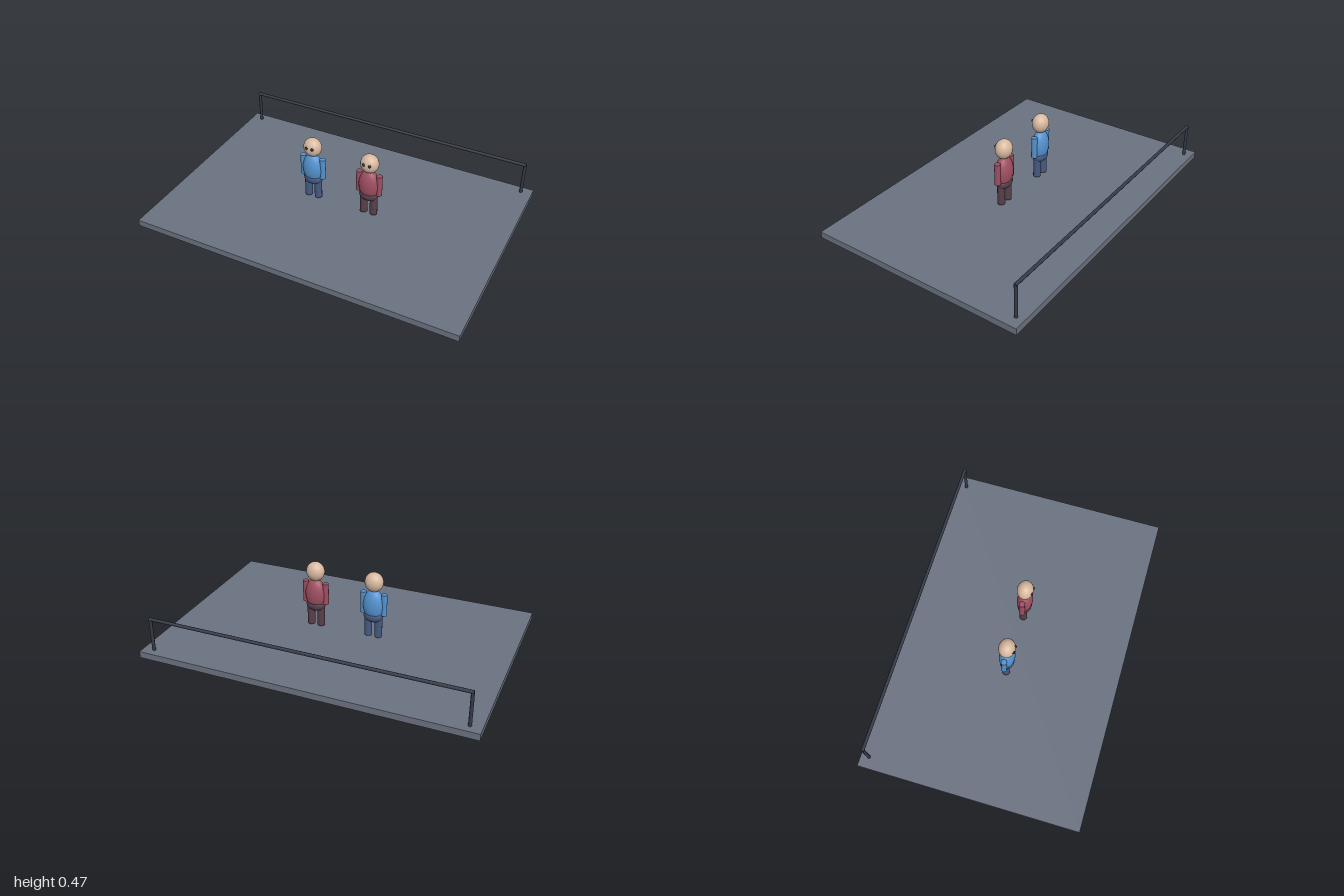
import * as THREE from 'three';

const mat = (name, color) => Object.assign(new THREE.MeshStandardMaterial({ color }), { name });

function add(parent, name, geometry, material, x, y, z) {
  const mesh = new THREE.Mesh(geometry, material);
  mesh.name = name;
  mesh.position.set(x, y, z);
  parent.add(mesh);
  return mesh;
}

const ellipsoid = (rx, ry, rz) => new THREE.SphereGeometry(1, 20, 14).scale(rx, ry, rz);
const rod = (r, length, sides = 12) => new THREE.CylinderGeometry(r, r, length, sides);

// One standing person with separate shirt and trouser colours
function createPerson(name, x, shirt, trousers, skin, eye) {
  const person = new THREE.Group();
  person.name = name;
  person.position.x = x;
  add(person, 'head', ellipsoid(0.056, 0.059, 0.049), skin, 0, 0.408, 0);
  add(person, 'torso', ellipsoid(0.065, 0.1, 0.047), shirt, 0, 0.26, 0);
  add(person, 'hips', ellipsoid(0.06, 0.041, 0.043), trousers, 0, 0.191, 0);
  for (const [side, s] of [['left', 1], ['right', -1]]) {
    add(person, side + 'Arm', rod(0.018, 0.134), shirt, s * 0.064, 0.271, 0);
    add(person, side + 'Leg', rod(0.023, 0.135), trousers, s * 0.032, 0.1255, 0);
    add(person, side + 'Eye', new THREE.SphereGeometry(0.0095, 10, 8), eye, s * 0.018, 0.419, 0.0425);
  }
  return person;
}

export function createModel() {
  const model = new THREE.Group();
  model.name = 'peopleOnPlatform';
  const slab = mat('slabGrey', 0x6b7280);
  const metal = mat('railDark', 0x343a48);
  const skin = mat('skin', 0xd8b9a0);
  const eye = mat('eyeDark', 0x20222a);
  const blue = mat('shirtBlue', 0x5493d0);
  const navy = mat('trousersBlue', 0x455a82);
  const red = mat('shirtRed', 0xa04f62);
  const plum = mat('trousersPlum', 0x57404a);

  // Ground slab
  add(model, 'platform', new THREE.BoxGeometry(2, 0.04, 1.333), slab, 0, 0.02, 0);

  // Rear guard rail
  const railing = new THREE.Group();
  railing.name = 'railing';
  railing.position.z = -0.617;
  for (const s of [-1, 1]) {
    add(railing, s > 0 ? 'leftPost' : 'rightPost', rod(0.01, 0.2, 8), metal, s * 0.933, 0.14, 0);
  }
  add(railing, 'topRail', rod(0.01, 1.88, 8), metal, 0, 0.242, 0).rotation.z = Math.PI / 2;
  model.add(railing);

  // The pair of people
  model.add(createPerson('bluePerson', -0.184, blue, navy, skin, eye));
  model.add(createPerson('redPerson', 0.184, red, plum, skin, eye));
  return model;
}
